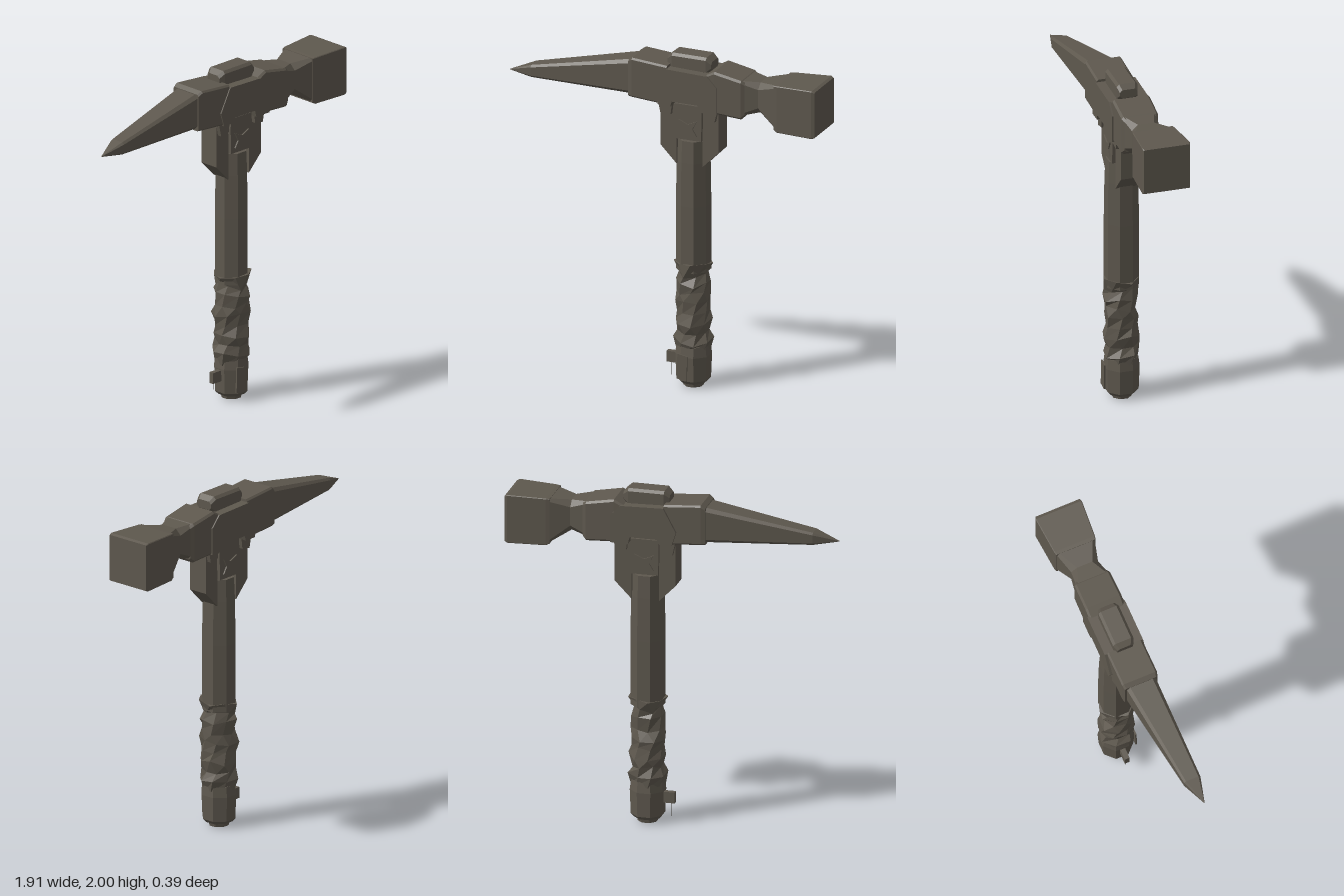
import * as THREE from 'three';

const iron = new THREE.MeshStandardMaterial({ color: 0x5e584e });
iron.name = 'dark iron';
iron.flatShading = true;

// Skin a series of rings (each counterclockwise about the axis) and cap both ends
function loft(rings) {
  const n = rings[0].length, idx = [], last = (rings.length - 1) * n;
  for (let k = 0; k < rings.length - 1; k++)
    for (let i = 0; i < n; i++) {
      const a = k * n + i, b = k * n + (i + 1) % n;
      idx.push(a, b, b + n, a, b + n, a + n);
    }
  for (let i = 1; i < n - 1; i++) idx.push(0, i + 1, i, last, last + i, last + i + 1);
  const g = new THREE.BufferGeometry();
  g.setAttribute('position', new THREE.Float32BufferAttribute(rings.flat(2), 3));
  g.setIndex(idx);
  const flat = g.toNonIndexed();
  flat.computeVertexNormals();
  return flat;
}

// Chamfered rectangle at x, from y0..y1 and z0..z1
const section = (c) => ([x, y0, y1, z0, z1, cc = c]) => [
  [x, y0 + cc, z0], [x, y1 - cc, z0], [x, y1, z0 + cc], [x, y1, z1 - cc],
  [x, y1 - cc, z1], [x, y0 + cc, z1], [x, y0, z1 - cc], [x, y0, z0 + cc]];
const bar = (c, sections) => loft(sections.map(section(c)));

// Plate cut from an outline in x,y and extruded from z0 to z1
function plate(points, z0, z1) {
  const shape = new THREE.Shape(points.map(([x, y]) => new THREE.Vector2(x, y)));
  return new THREE.ExtrudeGeometry(shape, { depth: z1 - z0, bevelEnabled: false }).translate(0, 0, z0);
}

// Octagonal ring around the shaft
const ring = (y, r, wobble = () => 0, twist = 0) => Array.from({ length: 8 }, (_, i) => {
  const a = (i + 0.5) * Math.PI / 4 + twist, q = r + wobble();
  return [Math.sin(a) * q, y + wobble() * 1.5, Math.cos(a) * q];
});

export function createModel() {
  const model = new THREE.Group();
  const tool = new THREE.Group();
  tool.name = 'warHammer';
  tool.position.set(0.14, 0, -0.045);
  tool.rotation.y = -0.14;
  model.add(tool);
  const add = (name, geometry) => {
    const m = new THREE.Mesh(geometry, iron);
    m.name = name;
    tool.add(m);
    return m;
  };

  // Pick: long taper ending in a point
  add('pick', bar(0.012, [
    [-1.1, 1.753, 1.757, 0.067, 0.071, 0.001],
    [-0.96, 1.737, 1.81, 0.005, 0.105],
    [-0.34, 1.725, 1.935, -0.09, 0.09, 0.02]]));

  // Collars on either side of the centre block
  add('pickCollar', bar(0.01, [
    [-0.36, 1.715, 1.935, -0.1, 0.1],
    [-0.335, 1.715, 1.952, -0.106, 0.108],
    [-0.12, 1.7, 1.935, -0.106, 0.108]]));
  add('hammerCollar', bar(0.012, [
    [0.11, 1.7, 1.91, -0.112, 0.105],
    [0.17, 1.69, 1.943, -0.114, 0.107],
    [0.335, 1.68, 1.912, -0.11, 0.106],
    [0.355, 1.7, 1.9, -0.1, 0.096]]));

  // Waisted neck and square striking head
  add('neck', bar(0.012, [
    [0.33, 1.7, 1.91, -0.1, 0.1],
    [0.43, 1.72, 1.9, -0.09, 0.075, 0.035],
    [0.56, 1.645, 1.918, -0.135, 0.108]]));
  add('strikingHead', bar(0.004, [
    [0.54, 1.65, 1.918, -0.133, 0.108],
    [0.56, 1.64, 1.92, -0.138, 0.112],
    [0.78, 1.64, 1.927, -0.157, 0.126],
    [0.797, 1.647, 1.92, -0.152, 0.121]]));

  // Centre block, notched underneath for the socket
  add('centreBlock', plate([
    [-0.17, 1.7], [-0.095, 1.7], [-0.085, 1.73], [0.075, 1.73], [0.085, 1.69], [0.19, 1.69],
    [0.19, 1.85], [0.13, 1.913], [-0.12, 1.92], [-0.195, 1.78]], -0.12, 0.115));
  add('topCap', bar(0.015, [
    [-0.14, 1.91, 1.975, -0.05, 0.045],
    [-0.11, 1.9, 2, -0.065, 0.06],
    [0.1, 1.9, 2, -0.065, 0.06],
    [0.13, 1.925, 1.975, -0.055, 0.05]]));

  // Socket flanges and lugs beside the shaft
  for (const s of [-1, 1]) {
    const pts = [[0.08, 1.7], [0.08, 1.34], [0.178, 1.44], [0.178, 1.7]].map(([x, y]) => [x * s, y]);
    add(s < 0 ? 'rightFlange' : 'leftFlange', plate(pts, -0.06, 0.06));
    const lug = [[0.095, 1.72], [0.105, 1.64], [0.165, 1.63], [0.185, 1.72]].map(([x, y]) => [x * s, y]);
    add(s < 0 ? 'rightLug' : 'leftLug', plate(lug, -0.085, 0.085));
  }

  // Socket tongue with raised hourglass ornaments front and back
  add('socketTongue', plate([[-0.08, 1.5], [0.08, 1.5], [0.085, 1.65], [0.08, 1.71], [-0.08, 1.71], [-0.085, 1.65]], -0.08, 0.08));
  const hourglass = [[-0.055, 1.53], [0.055, 1.53], [0.03, 1.57], [0.055, 1.62], [0, 1.595], [-0.055, 1.62], [-0.03, 1.57]];
  add('frontOrnament', plate(hourglass, 0.08, 0.088));
  add('backOrnament', plate(hourglass, -0.088, -0.08));

  // Faceted shaft
  add('shaft', loft([ring(0.7, 0.1), ring(1.1, 0.1), ring(1.36, 0.096), ring(1.49, 0.09)]));

  // Leather-like grip: irregular twisted rings
  let seed = 7;
  const wobble = () => {
    seed = (seed * 16807) % 2147483647;
    return (seed / 2147483647 - 0.5) * 0.024;
  };
  const grip = [];
  for (let k = 0; k <= 9; k++)
    grip.push(ring(0.22 + k * 0.058, k % 2 ? 0.106 : 0.092, wobble, (k % 3 - 1) * 0.16));
  add('grip', loft(grip));

  // Pommel with end cap
  add('pommel', loft([ring(0.025, 0.08), ring(0.045, 0.098), ring(0.19, 0.104), ring(0.25, 0.096)]));
  add('pommelCap', loft([ring(0, 0.058), ring(0.03, 0.066)]));
  add('pommelPlate', plate([[-0.06, 0.06], [0, 0.05], [0.005, 0.2], [-0.055, 0.21]], 0.094, 0.103));

  // Loose strap end and its thread
  add('strap', new THREE.BoxGeometry(0.08, 0.065, 0.03)).position.set(-0.12, 0.15, 0);
  add('strapThread', new THREE.CylinderGeometry(0.002, 0.001, 0.09, 4)).position.set(-0.138, 0.08, 0);

  return model;
}
